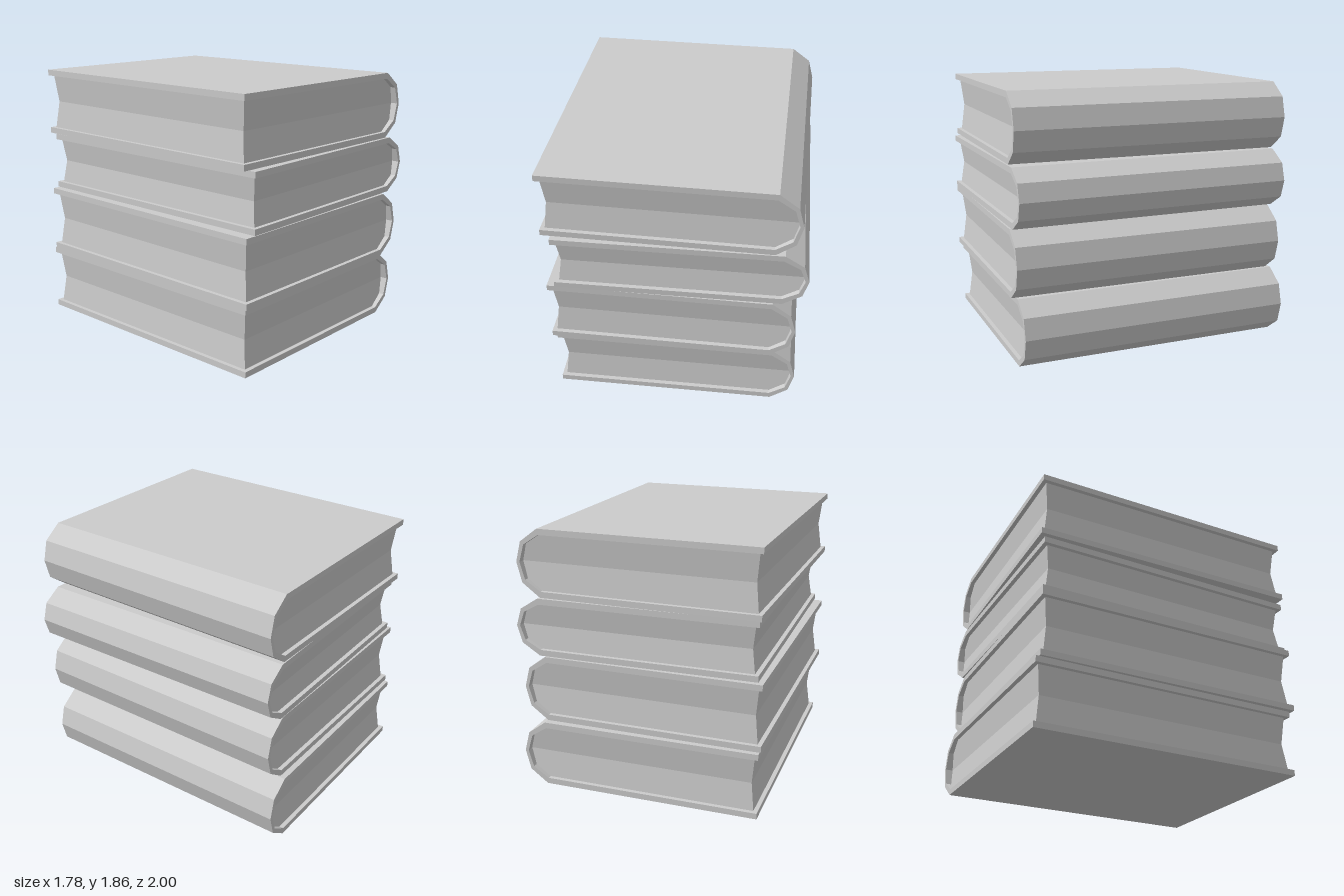
import * as THREE from 'three';

const material = new THREE.MeshStandardMaterial({ color: 0xcccccc, flatShading: true });
const LENGTH = 1.96, COVER = 0.042, PAGE_INSET = 0.03, HOLLOW = 0.022;

// C-shaped cover: two boards joined by a faceted rounded spine
function makeCover(width, height) {
  const h = height / 2, hi = h - COVER, x0 = -width / 2, x1 = width / 2;
  const points = [
    [x0, -h], [x1 - 0.165, -h], [x1 - 0.037, -h * 0.6], [x1, 0],
    [x1 - 0.037, h * 0.6], [x1 - 0.165, h], [x0, h],
    [x0, hi], [x1 - 0.172, hi], [x1 - 0.06, hi * 0.62], [x1 - 0.024, 0],
    [x1 - 0.06, -hi * 0.62], [x1 - 0.172, -hi], [x0, -hi],
  ];
  const shape = new THREE.Shape(points.map(([x, y]) => new THREE.Vector2(x, y)));
  const geometry = new THREE.ExtrudeGeometry(shape, { depth: LENGTH, bevelEnabled: false });
  geometry.translate(0, 0, -LENGTH / 2);
  const mesh = new THREE.Mesh(geometry, material);
  mesh.name = 'cover';
  return mesh;
}

// Page block: three open sides hollowed at mid height, rounded towards the spine
function makePages(width, height) {
  const hi = height / 2 - COVER;
  const rowY = [-hi, -hi * 0.62, 0, hi * 0.62, hi];
  const spineInset = [0.172, 0.06, 0.024, 0.06, 0.172];
  const geometry = new THREE.BoxGeometry(1, 1, 1, 1, 4, 1);
  const pos = geometry.attributes.position;
  for (let i = 0; i < pos.count; i++) {
    const row = Math.round((pos.getY(i) + 0.5) * 4);
    const inset = PAGE_INSET + HOLLOW * (1 - Math.abs(rowY[row]) / hi);
    const x = pos.getX(i) > 0 ? width / 2 - spineInset[row] : -width / 2 + inset;
    pos.setXYZ(i, x, rowY[row], Math.sign(pos.getZ(i)) * (LENGTH / 2 - inset));
  }
  geometry.computeVertexNormals();
  const mesh = new THREE.Mesh(geometry, material);
  mesh.name = 'pages';
  return mesh;
}

export function createModel() {
  const group = new THREE.Group();
  group.name = 'bookStack';
  // Books from the bottom up, each shifted and turned a little
  const books = [
    { name: 'bottomBook', y0: 0, y1: 0.477, x: -0.003, z: -0.02, turn: 0 },
    { name: 'lowerMiddleBook', y0: 0.482, y1: 0.957, x: -0.02, z: 0.013, turn: -0.008 },
    { name: 'upperMiddleBook', y0: 0.966, y1: 1.376, x: 0.027, z: 0.017, turn: 0.005 },
    { name: 'topBook', y0: 1.384, y1: 1.858, x: -0.017, z: 0.003, turn: -0.018 },
  ];
  for (const b of books) {
    const book = new THREE.Group();
    book.name = b.name;
    book.add(makeCover(1.712, b.y1 - b.y0), makePages(1.712, b.y1 - b.y0));
    book.position.set(b.x, (b.y0 + b.y1) / 2, b.z);
    book.rotation.y = b.turn;
    group.add(book);
  }
  return group;
}
